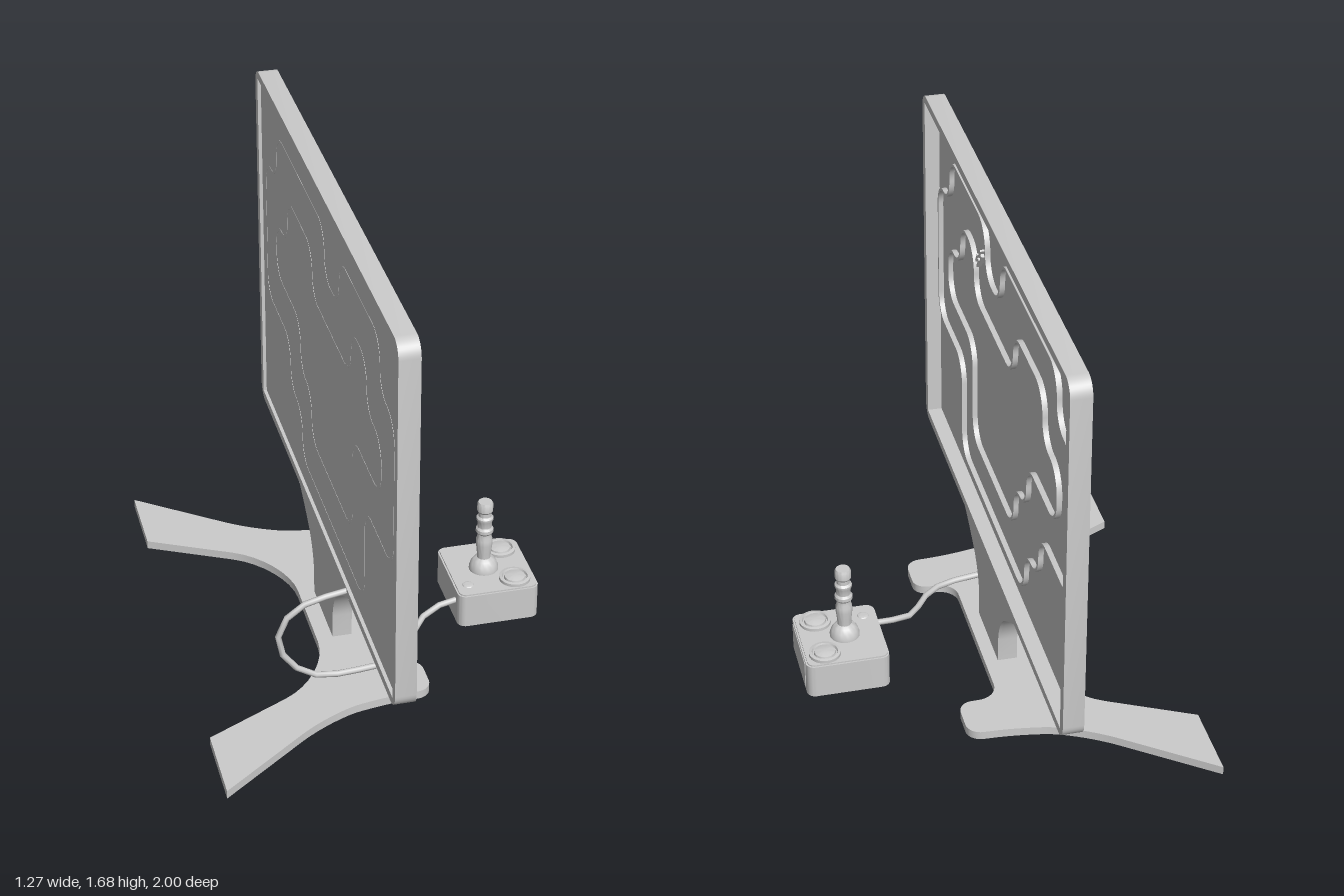
import * as THREE from 'three';
import { toCreasedNormals } from 'three/addons/utils/BufferGeometryUtils.js';
import { RoundedBoxGeometry } from 'three/addons/geometries/RoundedBoxGeometry.js';

const grey = new THREE.MeshStandardMaterial({ color: 0xcccccc, side: THREE.DoubleSide });

function part(parent, name, geometry, x = 0, y = 0, z = 0) {
  const mesh = new THREE.Mesh(geometry, grey);
  mesh.name = name;
  mesh.position.set(x, y, z);
  parent.add(mesh);
  return mesh;
}

// Closed polygon with rounded corners; each corner is [u, v, radius]. Counter-clockwise points.
function rounded(corners) {
  const path = new THREE.Path();
  const n = corners.length;
  corners.forEach((c, i) => {
    const b = new THREE.Vector2(c[0], c[1]);
    const toward = (q) => {
      const d = new THREE.Vector2(q[0], q[1]).sub(b);
      const len = d.length();
      return d.multiplyScalar(Math.min(c[2], len * 0.49) / len).add(b);
    };
    const s = toward(corners[(i + n - 1) % n]);
    const e = toward(corners[(i + 1) % n]);
    if (i === 0) path.moveTo(s.x, s.y); else path.lineTo(s.x, s.y);
    if (c[2] > 0) {
      const h1 = s.clone().lerp(b, 0.55), h2 = e.clone().lerp(b, 0.55);
      path.bezierCurveTo(h1.x, h1.y, h2.x, h2.y, e.x, e.y);
    }
  });
  const pts = path.getPoints(8);
  if (pts[0].distanceTo(pts[pts.length - 1]) < 1e-6) pts.pop();
  return THREE.ShapeUtils.isClockWise(pts) ? pts.reverse() : pts;
}

// Moves a closed outline inward by w
function inset(pts, w) {
  const n = pts.length;
  return pts.map((p, i) => {
    const d = pts[(i + 1) % n].clone().sub(pts[(i + n - 1) % n]).normalize();
    return new THREE.Vector2(p.x - d.y * w, p.y + d.x * w);
  });
}

function extrude(pts, depth, hole) {
  const shape = new THREE.Shape(pts);
  if (hole) shape.holes.push(new THREE.Path(hole));
  const g = new THREE.ExtrudeGeometry(shape, { depth, bevelEnabled: false });
  return toCreasedNormals(g, 0.6);
}
const alongX = (g) => g.rotateY(Math.PI / 2); // outline u = -z, v = y
const alongY = (g) => g.rotateX(-Math.PI / 2); // outline u = x, v = -z

const rect = (u0, u1, v0, v1, r) => rounded([[u0, v0, r], [u1, v0, r], [u1, v1, r], [u0, v1, r]]);

// Corners of the wall loops on the screen, as z, y
const OUTER = [[.915, 1.365], [.735, 1.365], [.735, 1.55], [.205, 1.55], [.205, 1.37], [0, 1.37],
  [0, 1.55], [-.725, 1.55], [-.725, 1.365], [-.905, 1.365], [-.905, .83], [-.535, .83],
  [-.535, .645], [-.355, .645], [-.355, .46], [.55, .46], [.55, .83], [.915, .83]];
const INNER = [[.365, 1.205], [.365, 1.38], [.57, 1.38], [.57, 1.2], [.76, 1.2], [.76, .995],
  [.385, .995], [.385, .625], [-.205, .625], [-.205, .81], [-.37, .81], [-.37, .995],
  [-.745, .995], [-.745, 1.2], [-.56, 1.2], [-.56, 1.38], [-.18, 1.38], [-.18, 1.205]];

function makeScreen() {
  const g = new THREE.Group();
  g.name = 'screen';
  part(g, 'screenFrame', alongX(extrude(rect(-1, 1, .35, 1.68, .055), .07, rect(-.965, .965, .38, 1.65, 0))), -.115);
  part(g, 'screenPanel', new THREE.BoxGeometry(.006, 1.28, 1.94), -.1, 1.015, 0);
  [['outerWall', OUTER], ['innerWall', INNER]].forEach(([name, list]) => {
    const mid = rounded(list.map(([z, y]) => [-z, y, .088]));
    part(g, name, alongX(extrude(inset(mid, -.005), .025, inset(mid, .005))), -.104);
  });
  // small gate of two short crossed bars
  [[.325, 1.365], [.285, 1.4]].forEach(([z, y]) => {
    [-1, 1].forEach((s) => {
      const bar = part(g, 'gateBar', new THREE.BoxGeometry(.018, .045, .007), -.09, y - s * .006, z - s * .009);
      bar.rotation.x = -.6;
    });
    const tie = part(g, 'gateTie', new THREE.BoxGeometry(.012, .007, .022), -.09, y, z);
    tie.rotation.x = -.6;
  });
  return g;
}

function makeStand() {
  const g = new THREE.Group();
  g.name = 'stand';
  // hollow base: top plate with a rim around it
  const half = [[0, .34, .07], [.145, .34, .05], [.145, .51, .05], [0, .515, .06], [-.21, .55, .16],
    [-.635, .873, 0], [-.635, .59, 0], [-.17, .355, .2]];
  const mirror = half.map(([x, z, r]) => [x, -z, r]).reverse();
  const base = rounded([...half, ...mirror]);
  part(g, 'baseTop', alongY(extrude(base, .008)), 0, .022);
  part(g, 'baseRim', alongY(extrude(base, .024, inset(base, .01))));
  // neck: front plate with flared side walls, open to the back
  const side = [[.14, .024, 0], [.145, .21, .11], [.32, .325, .04], [.38, .356, 0]];
  const neck = rounded([...side, ...side.map(([u, v, r]) => [-u, v, r]).reverse()]);
  part(g, 'neckFront', alongX(extrude(neck, .01)), -.056);
  part(g, 'neckWalls', alongX(extrude(neck, .062, inset(neck, .01))), -.114);
  return g;
}

function makeController() {
  const g = new THREE.Group();
  g.name = 'controller';
  const body = rect(.337, .628, -.155, .158, .03);
  part(g, 'controllerBody', alongY(extrude(body, .124)), 0, .002);
  part(g, 'controllerTopEdge', alongY(extrude(inset(body, .006), .006)), 0, .125);
  part(g, 'frontPlate', new RoundedBoxGeometry(.006, .1, .235, 2, .002), .628, .068, 0);
  part(g, 'bottomDisc', new THREE.CylinderGeometry(.05, .05, .01, 24), .47, .005, 0);
  // buttons sitting in raised rings
  const lathe = (pts, n = 28) => toCreasedNormals(
    new THREE.LatheGeometry(pts.map(([r, y]) => new THREE.Vector2(r, y)), n), .6);
  [-.095, .09].forEach((z) => {
    part(g, 'button', lathe([[.055, 0], [.055, .012], [.045, .014], [.042, .006], [.038, .006],
      [.036, .014], [.02, .018], [0, .019]]), .555, .13, z);
  });
  part(g, 'smallButton', lathe([[.021, 0], [.018, .004], [.009, .007], [0, .008]], 20), .385, .13, .09);
  // stick with its boot and ribs
  part(g, 'stick', lathe([[.052, .13], [.052, .14], [.046, .158], [.036, .172], [.024, .18], [.025, .2],
    [.029, .235], [.029, .255], [.025, .268], [.025, .28], [.031, .288], [.031, .3], [.025, .308],
    [.026, .33], [.03, .338], [.03, .346], [.023, .353], [.023, .368], [.028, .375], [.028, .402],
    [.024, .41], [0, .41]]), .467, 0, 0);
  return g;
}

function makeCable() {
  const pts = [[.35, .085, .1], [.28, .078, .11], [.2, .06, .15], [.12, .045, .27], [.05, .038, .33],
    [-.1, .04, .36], [-.22, .052, .37], [-.31, .11, .365], [-.353, .2, .36], [-.33, .28, .355],
    [-.26, .335, .35], [-.11, .365, .345]].map((p) => new THREE.Vector3(...p));
  const curve = new THREE.CatmullRomCurve3(pts);
  return new THREE.TubeGeometry(curve, 16, .011, 8, false);
}

export function createModel() {
  const model = new THREE.Group();
  model.name = 'displayWithController';
  model.add(makeScreen(), makeStand(), makeController());
  part(model, 'cable', makeCable());
  return model;
}
